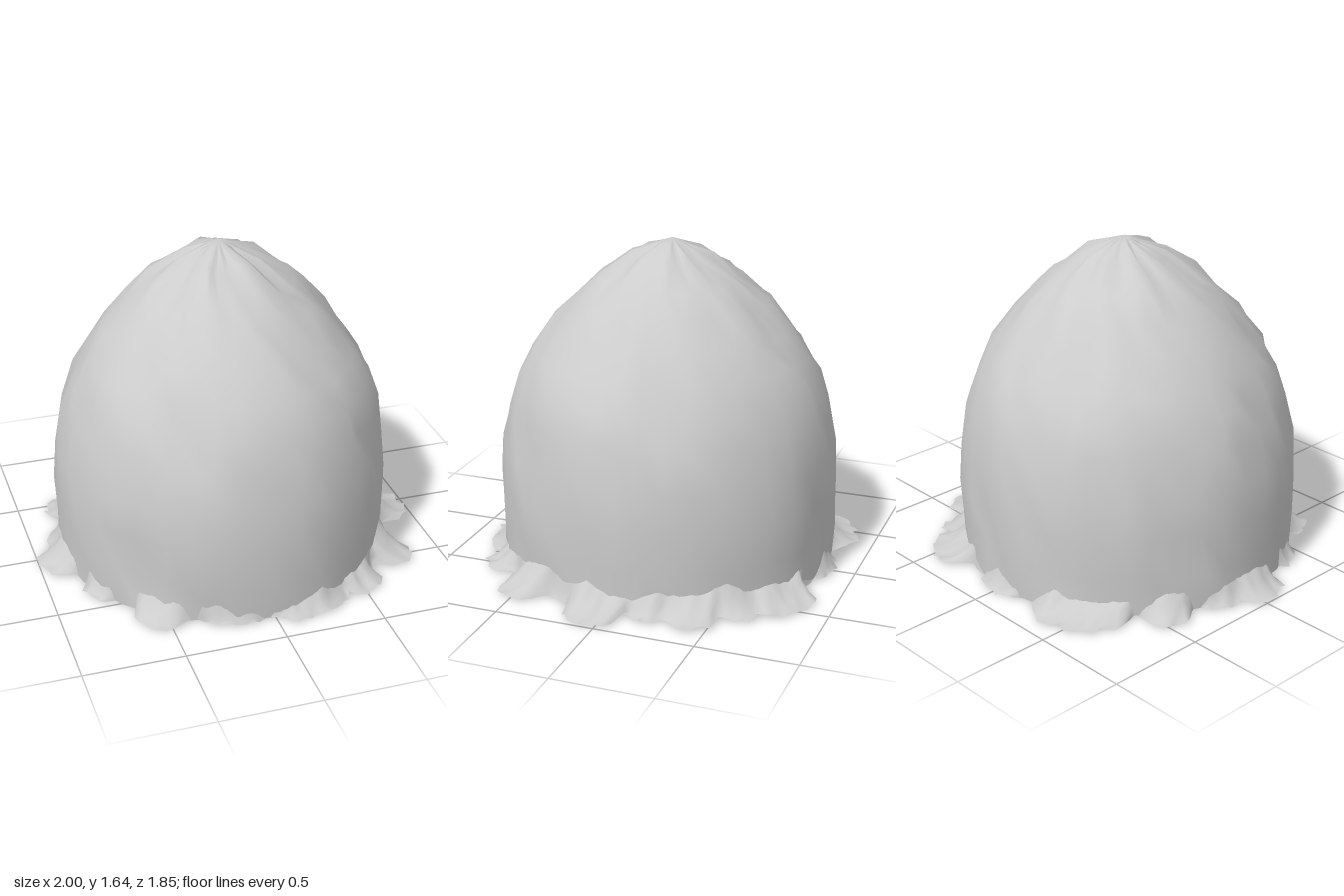
import * as THREE from 'three';
import { mergeVertices } from 'three/addons/utils/BufferGeometryUtils.js';

// small seeded random source, -1..1
function makeRandom(seed) {
  return () => {
    seed = (seed * 1664525 + 1013904223) % 4294967296;
    return (seed / 4294967296) * 2 - 1;
  };
}

// dome outline: radius, height
const PROFILE = [
  [0.835, 0.01], [0.845, 0.2], [0.85, 0.4], [0.837, 0.6], [0.8, 0.8], [0.75, 0.95],
  [0.68, 1.08], [0.585, 1.21], [0.475, 1.34], [0.36, 1.45], [0.2, 1.555], [0.07, 1.615], [0, 1.64],
];

// ragged flaps around the foot: angle from +x towards +z (degrees), half width, reach
const FLAPS = [
  [4, 10, 1.0], [33, 9, 1.0], [54, 9, 0.95], [76, 15, 0.92], [104, 10, 0.87], [128, 10, 0.96],
  [153, 7, 0.92], [176, 10, 1.0], [191, 8, 0.92], [210, 9, 0.97], [238, 18, 1.01],
  [270, 10, 0.9], [301, 13, 1.01], [317, 7, 0.96], [332, 9, 0.98], [346, 6, 0.9],
];

function reach(deg) {
  let r = 0.84;
  for (const [a, half, out] of FLAPS) {
    const d = Math.abs(((deg - a + 540) % 360) - 180) / half;
    if (d < 1) r = Math.max(r, 0.84 + (out - 0.84) * (1 - d ** 4));
  }
  return r;
}

// thin crumpled dome, open below
function domeGeometry() {
  const rnd = makeRandom(11);
  const points = PROFILE.map(([r, y]) => new THREE.Vector2(r, y));
  let geo = new THREE.LatheGeometry(points, 40);
  geo.deleteAttribute('normal');
  geo.deleteAttribute('uv');
  geo = mergeVertices(geo, 1e-4);
  const pos = geo.attributes.position;
  for (let i = 0; i < pos.count; i++) {
    let x = pos.getX(i), y = pos.getY(i), z = pos.getZ(i);
    const r = Math.hypot(x, z);
    if (r > 0.1) {
      // uneven skin with occasional sharp dents, vertices shifted along the surface
      const dent = rnd() > 0.88 ? 0.035 : 0;
      const k = 1 + (rnd() * 0.008 - dent) / r;
      const turn = rnd() * 0.035;
      const c = Math.cos(turn), s = Math.sin(turn);
      [x, z] = [(x * c - z * s) * k, (x * s + z * c) * k];
      if (y > 0.1) y += rnd() * 0.022;
    }
    pos.setXYZ(i, x * 0.99 - 0.03 + 0.01 * (y / 1.64), y, z * 1.01 - 0.02 * (y / 1.64) ** 2);
  }
  geo.computeVertexNormals();
  return geo;
}

// torn skirt built from rows running out from the dome wall
function skirtGeometry() {
  const rnd = makeRandom(5);
  const n = 180, rows = 4;
  const verts = [], index = [];
  // crumple height varies slowly around the foot
  const bumps = Array.from({ length: 45 }, () => 0.1 + 0.045 * rnd());
  for (let i = 0; i < n; i++) {
    const deg = (i / n) * 360, a = THREE.MathUtils.degToRad(deg);
    const f = i / 4, b = Math.floor(f);
    const h = THREE.MathUtils.lerp(bumps[b], bumps[(b + 1) % 45], f - b);
    const r0 = 0.825, tip = reach(deg);
    const r1 = tip + (tip > 0.88 ? rnd() * 0.02 - 0.008 : 0);
    const cx = -0.02;
    for (let j = 0; j < rows; j++) {
      const t = j / (rows - 1);
      const r = THREE.MathUtils.lerp(r0, r1, t);
      const y = 0.012 + h * (1 - t) ** 1.7 + (j === rows - 1 ? rnd() * 0.01 : rnd() * 0.008);
      verts.push(Math.cos(a) * r + cx * (1 - t), Math.max(0, y), Math.sin(a) * r);
      if (j < rows - 1) {
        const p = i * rows + j, q = ((i + 1) % n) * rows + j;
        index.push(p, q, q + 1, p, q + 1, p + 1);
      }
    }
  }
  const geo = new THREE.BufferGeometry();
  geo.setAttribute('position', new THREE.Float32BufferAttribute(verts, 3));
  geo.setIndex(index);
  geo.computeVertexNormals();
  return geo;
}

export function createModel() {
  const grey = new THREE.MeshStandardMaterial({ color: 0xcccccc, side: THREE.DoubleSide });
  grey.name = 'light grey';
  const group = new THREE.Group();
  group.name = 'crumpledDome';
  const add = (name, geo) => {
    const mesh = new THREE.Mesh(geo, grey);
    mesh.name = name;
    group.add(mesh);
  };
  add('domeShell', domeGeometry());
  add('tornSkirt', skirtGeometry());
  return group;
}
